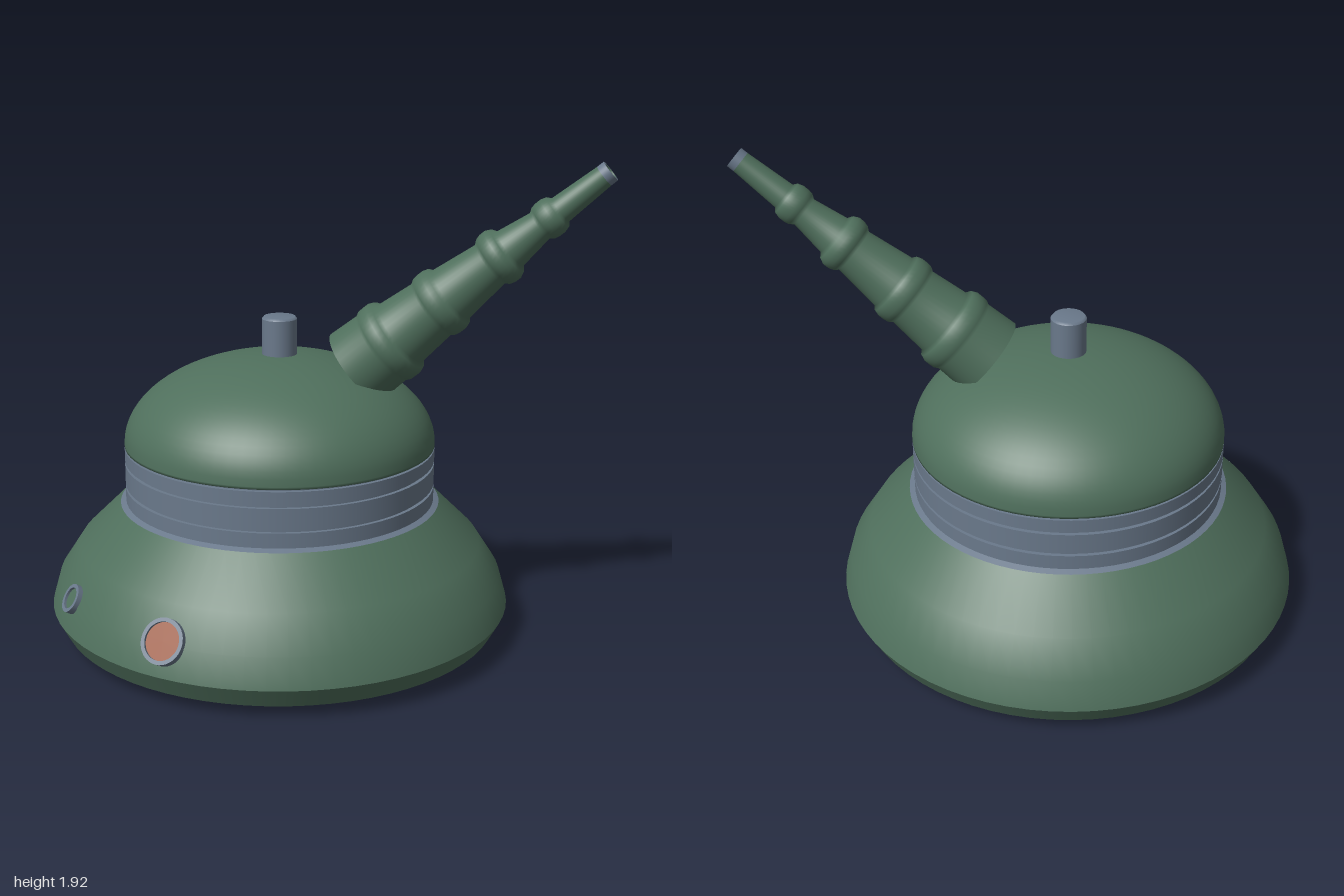
import * as THREE from 'three';

export function createModel() {
  const model = new THREE.Group();
  const mat = (name, color) => {
    const m = new THREE.MeshStandardMaterial({ color });
    m.name = name;
    return m;
  };
  const green = mat('armour green', 0x4f6f5c);
  const grey = mat('steel grey', 0x6a798b);
  const orange = mat('lens orange', 0x964a20);

  const add = (parent, name, geometry, material) => {
    const mesh = new THREE.Mesh(geometry, material);
    mesh.name = name;
    parent.add(mesh);
    return mesh;
  };
  // Each lathe is one smooth section, so edges between sections stay sharp
  const lathe = (parent, name, points, material, segments = 72) =>
    add(parent, name, new THREE.LatheGeometry(
      points.map(([r, y]) => new THREE.Vector2(r, y)), segments), material);

  // Round hull, standing a little to the right of the centre
  const body = new THREE.Group();
  body.name = 'body';
  body.position.x = -0.067;
  model.add(body);
  lathe(body, 'underside', [[0, 0], [0.75, 0]], grey);
  lathe(body, 'lowerRim', [[0.75, 0], [0.89, 0.05]], grey);
  lathe(body, 'skirtLower', [[0.89, 0.05], [0.933, 0.13]], green);
  lathe(body, 'skirtUpper', [[0.933, 0.13], [0.9, 0.245], [0.815, 0.375], [0.647, 0.54]], green);
  lathe(body, 'neckLedge', [[0.647, 0.54], [0.61, 0.556]], grey);

  // Neck: an inner core with three bands separated by grooves
  lathe(body, 'neckCore', [[0.61, 0.54], [0.61, 0.79]], grey);
  for (const [y0, y1] of [[0.55, 0.608], [0.62, 0.703], [0.715, 0.768]]) {
    add(body, 'neckBand', new THREE.CylinderGeometry(0.625, 0.625, y1 - y0, 72), grey)
      .position.y = (y0 + y1) / 2;
  }

  // Dome
  const dome = [];
  for (let i = 0; i <= 20; i++) {
    const a = (i / 20) * Math.PI / 2;
    dome.push([0.625 * Math.cos(a), 0.785 + 0.355 * Math.sin(a)]);
  }
  lathe(body, 'domeLip', [[0.6, 0.776], [0.625, 0.776], [0.625, 0.785]], green);
  lathe(body, 'dome', dome, green);

  // Stub on the crown
  lathe(body, 'stubSide', [[0.07, 1.1], [0.07, 1.28]], grey, 32);
  lathe(body, 'stubTop', [[0.07, 1.28], [0.062, 1.29], [0, 1.29]], grey, 32);

  // Tapered barrel with rounded collars, aimed up, left and back
  const start = new THREE.Vector3(0.19, 1.1, -0.18);
  const tip = new THREE.Vector3(0.965, 1.89, -0.7);
  const length = start.distanceTo(tip);
  const barrel = new THREE.Group();
  barrel.name = 'barrel';
  barrel.position.copy(start);
  barrel.quaternion.setFromUnitVectors(new THREE.Vector3(0, 1, 0), tip.clone().sub(start).normalize());
  model.add(barrel);

  // Collars: position along the barrel, radius, tube radius before and after
  const collars = [
    [0.18, 0.168, 0.158, 0.14],
    [0.43, 0.138, 0.124, 0.116],
    [0.715, 0.112, 0.092, 0.082],
    [0.95, 0.076, 0.06, 0.054],
  ];
  const profile = [[0.165, 0]];
  for (const [s, r, before, after] of collars) {
    profile.push([before, s - 0.05], [(before + r) / 2 + 0.004, s - 0.034], [r, s - 0.014],
      [r, s + 0.01], [(after + r) / 2 + 0.004, s + 0.032], [after, s + 0.045]);
  }
  profile.push([0.043, length - 0.03]);
  lathe(barrel, 'barrelEnd', [[0, 0], [0.165, 0]], green, 40);
  lathe(barrel, 'barrelTube', profile, green, 40);
  lathe(barrel, 'muzzleBand', [[0.043, length - 0.03], [0.043, length]], grey, 40);
  lathe(barrel, 'muzzleRim', [[0.043, length], [0.032, length]], grey, 40);
  lathe(barrel, 'muzzleBore', [[0.032, length], [0.03, length - 0.15], [0, length - 0.15]], green, 40);

  // Portholes lying on the sloping skirt
  const porthole = (name, x, radius, lens) => {
    const port = new THREE.Group();
    port.name = name;
    const angle = Math.asin(x / 0.89);
    port.position.set(Math.sin(angle) * 0.892, 0.255, Math.cos(angle) * 0.892);
    port.rotation.set(-0.54, angle, 0, 'YXZ');
    body.add(port);
    const ring = new THREE.Group();
    ring.name = 'ring';
    ring.rotation.x = Math.PI / 2;
    port.add(ring);
    const inner = radius - 0.015;
    lathe(ring, 'ringOutside', [[radius, -0.04], [radius, 0.018]], grey, 36);
    lathe(ring, 'ringFace', [[radius, 0.018], [inner, 0.018]], grey, 36);
    lathe(ring, 'ringInside', [[inner, 0.018], [inner, -0.04]], grey, 36);
    add(port, 'lens', new THREE.CircleGeometry(inner, 36), lens).position.z = 0.008;
  };
  porthole('largePorthole', 0.305, 0.086, orange);
  porthole('smallPorthole', -0.235, 0.057, green);

  return model;
}
